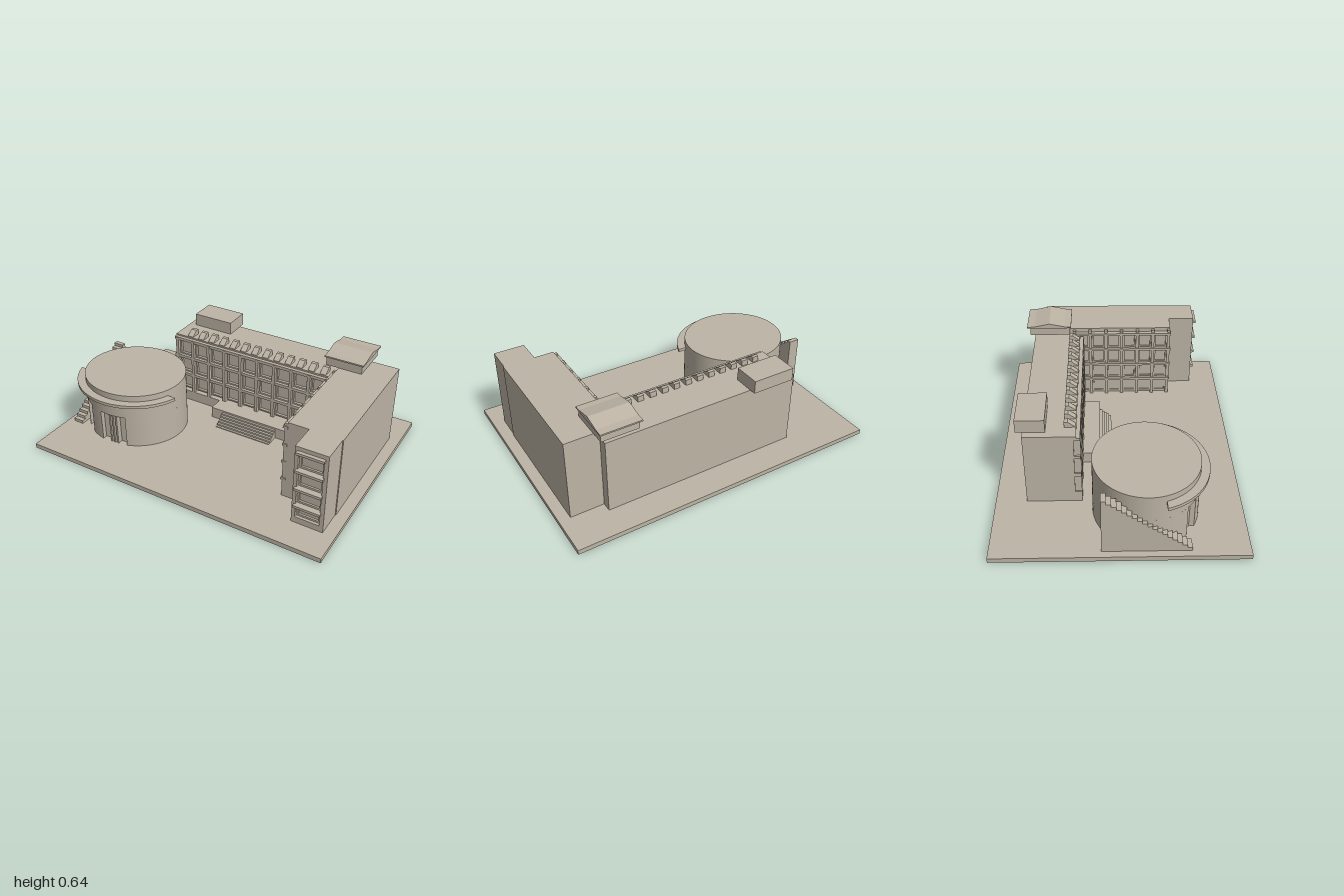
import * as THREE from 'three';

const stone = new THREE.MeshStandardMaterial({ color: 0xbdb4a5 });
stone.name = 'stone';

export function createModel() {
  const model = new THREE.Group();
  model.name = 'civicBuilding';

  const add = (name, geometry, parent = model) => {
    const mesh = new THREE.Mesh(geometry, stone);
    mesh.name = name;
    parent.add(mesh);
    return mesh;
  };
  const group = (name) => {
    const g = new THREE.Group();
    g.name = name;
    model.add(g);
    return g;
  };
  // Box given by its limits on each axis
  const box = (name, x0, x1, y0, y1, z0, z1, parent) => {
    const g = new THREE.BoxGeometry(x1 - x0, y1 - y0, z1 - z0);
    g.translate((x0 + x1) / 2, (y0 + y1) / 2, (z0 + z1) / 2);
    return add(name, g, parent);
  };
  // Rectangular frame facing +z, centred on its opening
  const frameGeometry = (w, h, border, depth) => {
    const rect = (C, a, b) => {
      const p = new C();
      p.moveTo(-a, -b); p.lineTo(a, -b); p.lineTo(a, b); p.lineTo(-a, b); p.closePath();
      return p;
    };
    const s = rect(THREE.Shape, w / 2, h / 2);
    s.holes.push(rect(THREE.Path, w / 2 - border, h / 2 - border));
    return new THREE.ExtrudeGeometry(s, { depth, bevelEnabled: false });
  };
  // Side profile of [z, y] points, extruded from x0 to x1
  const profile = (name, points, x0, x1, parent) => {
    const s = new THREE.Shape(points.map(([z, y]) => new THREE.Vector2(-z, y)));
    const g = new THREE.ExtrudeGeometry(s, { depth: x1 - x0, bevelEnabled: false });
    g.rotateY(Math.PI / 2).translate(x0, 0, 0);
    return add(name, g, parent);
  };

  box('base', -1, 1, 0, 0.03, -0.73, 0.73);

  // Main block with its gridded front
  const main = group('mainBlock');
  box('mainBody', -0.545, 0.72, 0.03, 0.51, -0.545, -0.255, main);
  box('plinth', -0.545, 0.605, 0.03, 0.1, -0.255, -0.215, main);
  const pitch = 0.122, left = -0.525;
  for (let i = 0; i < 10; i++) {
    const x = left + i * pitch;
    box('facadeFin', x - 0.01, x + 0.01, 0.1, 0.495, -0.255, -0.215, main);
  }
  for (let r = 0; r < 3; r++) {
    const y = 0.23 + r * 0.13;
    box('facadeLedge', -0.545, 0.585, y - 0.01, y + 0.01, -0.255, -0.217, main);
    for (let i = 0; i < 9; i++) {
      const f = add('windowFrame', frameGeometry(0.102, 0.11, 0.01, 0.018), main);
      f.position.set(left + (i + 0.5) * pitch, y - 0.065, -0.255);
    }
  }
  box('cornice', -0.545, 0.6, 0.495, 0.51, -0.255, -0.24, main);
  for (let i = 0; i < 13; i++) {
    const x = -0.435 + i * 0.0805;
    profile('roofBlock', [[-0.31, 0.505], [-0.245, 0.505], [-0.245, 0.513], [-0.288, 0.545], [-0.31, 0.545]],
      x - 0.02, x + 0.02, main);
  }
  box('roofBox', -0.5, -0.225, 0.51, 0.592, -0.585, -0.415, main);

  // Entrance terrace and stairs
  const entrance = group('entrance');
  box('terrace', -0.19, 0.37, 0.03, 0.105, -0.215, -0.11, entrance);
  for (let i = 0; i < 6; i++) {
    box('entranceStep', -0.105, 0.29, 0.03, 0.093 - i * 0.0115, -0.11, -0.095 + i * 0.015, entrance);
  }

  // Side wing with ledges and fins on its inner face
  const wing = group('sideWing');
  box('wingBody', 0.605, 0.93, 0.03, 0.55, -0.485, 0.375, wing);
  const levels = [0.155, 0.275, 0.395, 0.515];
  for (const y of levels) {
    box('wingLedge', 0.575, 0.605, y - 0.008, y + 0.008, -0.29, 0.38, wing);
  }
  for (let i = 0; i <= 6; i++) {
    const z = -0.28 + i * 0.1075;
    box('wingFin', 0.583, 0.605, 0.03, 0.54, z - 0.01, z + 0.01, wing);
    for (let r = 0; i < 6 && r < 4; r++) {
      const f = add('wingWindowFrame', frameGeometry(0.087, 0.104, 0.01, 0.01), wing);
      f.rotation.y = -Math.PI / 2;
      f.position.set(0.605, levels[r] - 0.06, z + 0.054);
    }
  }

  // Front tower of the wing with a recessed window strip
  box('towerBody', 0.73, 0.925, 0.03, 0.55, 0.375, 0.515, wing);
  box('towerSideLeft', 0.9, 0.925, 0.03, 0.55, 0.515, 0.545, wing);
  box('towerSideRight', 0.73, 0.752, 0.03, 0.55, 0.515, 0.545, wing);
  box('towerSill', 0.752, 0.9, 0.03, 0.07, 0.515, 0.545, wing);
  box('towerHead', 0.752, 0.9, 0.525, 0.55, 0.515, 0.545, wing);
  for (const y of levels) {
    box('towerSlab', 0.743, 0.907, y - 0.008, y + 0.008, 0.515, 0.565, wing);
  }
  for (let r = 0; r < 4; r++) {
    const y0 = r ? levels[r - 1] + 0.008 : 0.07, y1 = levels[r] - 0.008;
    const f = add('towerWindowFrame', frameGeometry(0.148, y1 - y0, 0.012, 0.012), wing);
    f.position.set(0.826, (y0 + y1) / 2, 0.515);
  }

  // Rooftop house with a low ridge roof
  const house = group('roofHouse');
  box('houseWalls', 0.522, 0.755, 0.55, 0.606, -0.57, -0.306, house);
  profile('houseRoof', [[-0.59, 0.605], [-0.298, 0.605], [-0.298, 0.614], [-0.34, 0.616],
    [-0.442, 0.638], [-0.54, 0.616], [-0.59, 0.614]], 0.512, 0.765, house);

  // Oval hall: lower storey has openings cut into its plan
  const hall = group('ovalHall');
  const cx = -0.603, cz = 0.155, rx = 0.333, rz = 0.31;
  const flat = (name, shape, y0, y1) => {
    const g = new THREE.ExtrudeGeometry(shape, { depth: y1 - y0, bevelEnabled: false, curveSegments: 64 });
    g.rotateX(-Math.PI / 2).translate(cx, y0, cz);
    return add(name, g, hall);
  };
  const frontZ = (dx) => rz * Math.sqrt(1 - (dx / rx) ** 2);
  const angleAt = (dx) => -Math.acos(dx / rx);
  const openings = [[-0.232, -0.162], [-0.06, 0.118]];
  const plan = new THREE.Shape();
  let start = 0;
  const arcTo = (a, b) => plan.absellipse(0, 0, rx, rz, a, b, false, 0);
  plan.moveTo(rx * Math.cos(start), 0);
  start = angleAt(openings[1][1]);
  arcTo(0, Math.PI);
  arcTo(Math.PI, 2 * Math.PI + angleAt(openings[0][0]));
  for (let i = 0; i < 2; i++) {
    const [a, b] = openings[i];
    plan.lineTo(a, -frontZ(a) + 0.03);
    plan.lineTo(b, -frontZ(b) + 0.03);
    plan.lineTo(b, -frontZ(b));
    arcTo(angleAt(b), i === 0 ? angleAt(openings[1][0]) : 0);
  }
  flat('hallLowerWall', plan, 0.03, 0.24);
  const oval = new THREE.Shape();
  oval.absellipse(0, 0, rx, rz, 0, 2 * Math.PI);
  flat('hallUpperWall', oval, 0.24, 0.405);
  for (const x of [0.006, 0.029, 0.052]) {
    box('hallMullion', cx + x - 0.006, cx + x + 0.006, 0.03, 0.24, cz + 0.25, cz + frontZ(x) - 0.008, hall);
  }

  // Curved canopy around the front half, cut square at its ends
  const canopy = new THREE.Shape();
  const ox = 0.385, oz = 0.36, cut = 0.095;
  const ao = Math.asin(cut / oz), ai = Math.asin(cut / rz);
  canopy.absellipse(0, 0, ox, oz, Math.PI + ao, 2 * Math.PI - ao, false, 0);
  canopy.absellipse(0, 0, rx - 0.003, rz - 0.003, 2 * Math.PI - ai, Math.PI + ai, true, 0);
  flat('hallCanopy', canopy, 0.345, 0.365);

  // Outside stair beside the hall, climbing towards the back
  const n = 18, treads = [[-0.105, 0.03]];
  for (let i = 0; i < n; i++) {
    const y = 0.4 - i * 0.0205;
    treads.push([-0.105 + (i * 0.505) / n, y], [-0.105 + ((i + 1) * 0.505) / n, y]);
  }
  treads.push([0.4, 0.03]);
  profile('sideStair', treads, -0.957, -0.888);

  return model;
}
